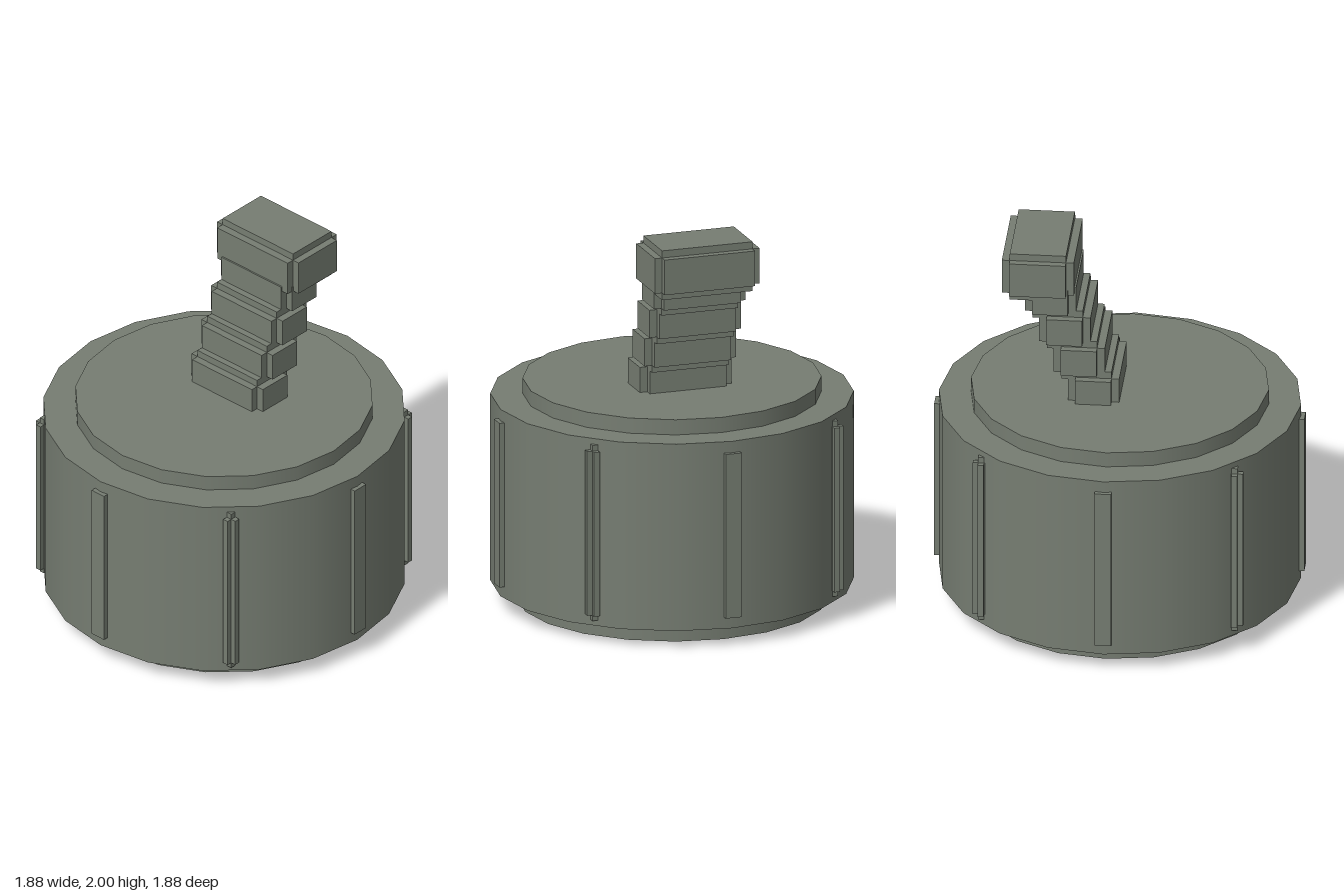
import * as THREE from 'three';

const material = new THREE.MeshStandardMaterial({ color: 0x767d72 });

function mesh(name, geometry, x, y, z) {
  const m = new THREE.Mesh(geometry, material);
  m.name = name;
  m.position.set(x, y, z);
  return m;
}

// 20-sided drum section between two heights
function drum(name, radius, y0, y1) {
  return mesh(name, new THREE.CylinderGeometry(radius, radius, y1 - y0, 20), 0, (y0 + y1) / 2, 0);
}

// Step-edged block: three crossed boxes, each full length along one axis only
function steppedBlock(name, full, inner, x, y, z) {
  const group = new THREE.Group();
  group.name = name;
  group.position.set(x, y, z);
  for (let axis = 0; axis < 3; axis++) {
    const size = inner.map((v, i) => (i === axis ? full[i] : v));
    group.add(mesh(name + 'Slab', new THREE.BoxGeometry(...size), 0, 0, 0));
  }
  return group;
}

export function createModel() {
  const model = new THREE.Group();
  model.name = 'drumWithLever';

  // Body
  model.add(drum('base', 0.785, 0, 0.095));
  model.add(drum('body', 0.918, 0.095, 1.08));
  model.add(drum('lid', 0.755, 1.08, 1.16));

  // Ribs: plain on the axes, stepped on the diagonals
  for (let i = 0; i < 4; i++) {
    const a = (i * Math.PI) / 2;
    const rib = mesh('rib', new THREE.BoxGeometry(0.085, 0.865, 0.085),
      Math.sin(a) * 0.896, 0.5875, Math.cos(a) * 0.896);
    rib.rotation.y = a;
    model.add(rib);
    const sx = i % 2 ? 1 : -1;
    const sz = i < 2 ? 1 : -1;
    model.add(steppedBlock('diagonalRib', [0.085, 0.925, 0.085], [0.03, 0.865, 0.03],
      sx * 0.643, 0.5875, sz * 0.643));
  }

  // Lever: four stacked segments leaning backwards
  for (let i = 0; i < 4; i++) {
    model.add(steppedBlock('leverSegment', [0.49, 0.22, 0.26], [0.41, 0.145, 0.182],
      0, 1.22 + i * 0.171, -0.115 - i * 0.0727));
  }

  // Lever head
  model.add(steppedBlock('leverHead', [0.56, 0.26, 0.365], [0.484, 0.185, 0.285],
    0, 1.87, -0.394));

  return model;
}
